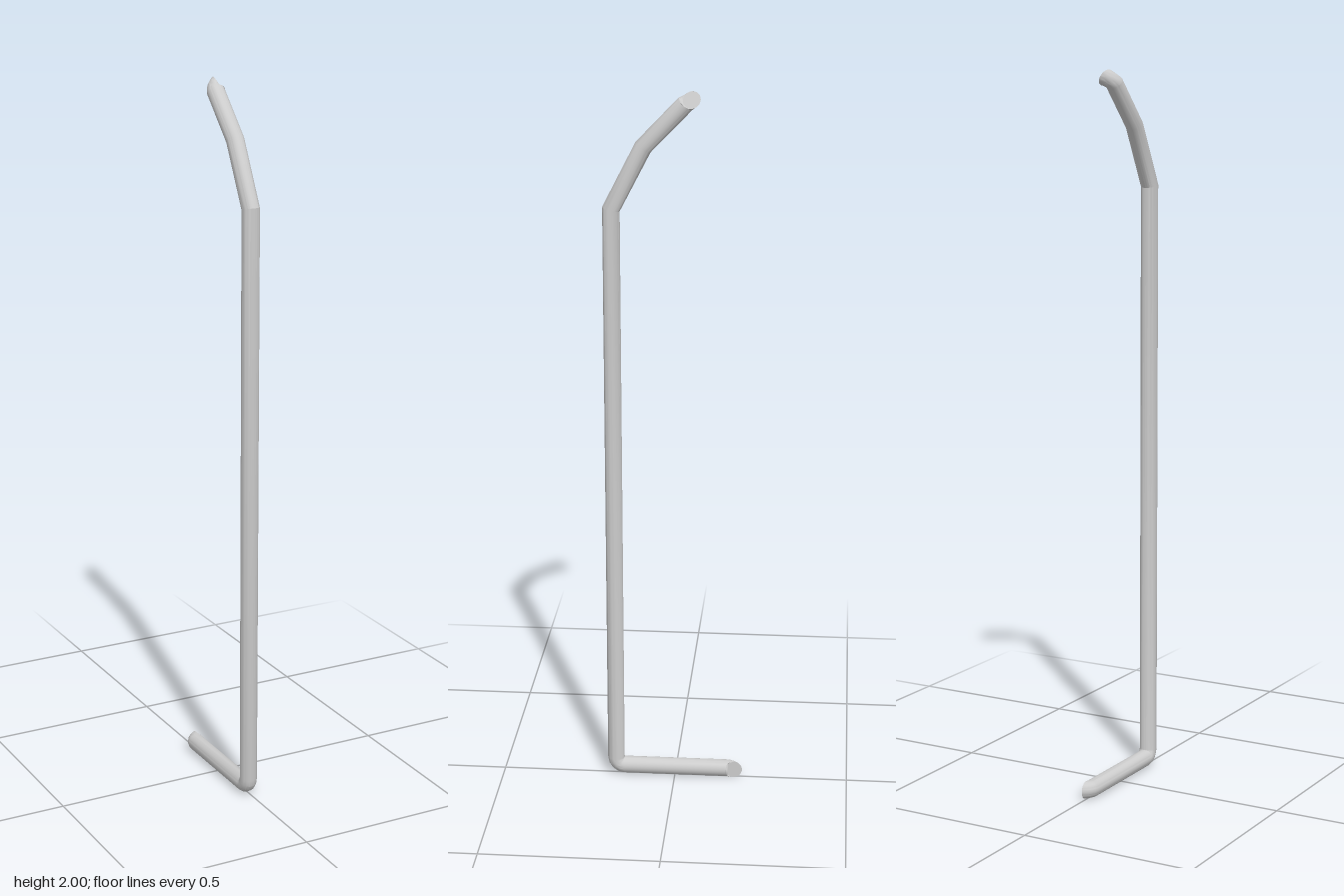
import * as THREE from 'three';
import { toCreasedNormals } from 'three/addons/utils/BufferGeometryUtils.js';

const RADIUS = 0.0243, SIDES = 24, X = -0.003;
const v3 = (x, y, z) => new THREE.Vector3(x, y, z);
const section = (center, normal) => ({ center, normal: normal.normalize() });

// Sections between two given ones, turning gradually from the first to the second
function turn(a, b, steps) {
  const q = new THREE.Quaternion().setFromUnitVectors(a.normal, b.normal);
  return Array.from({ length: steps - 1 }, (_, i) => {
    const t = (i + 1) / steps;
    return section(a.center.clone().lerp(b.center, t),
      a.normal.clone().applyQuaternion(new THREE.Quaternion().slerp(q, t)));
  });
}

// Skin round cross-sections, carrying the frame along without twist
function sweep(sections) {
  const pos = [], index = [];
  const q = new THREE.Quaternion().setFromUnitVectors(v3(0, 0, 1), sections[0].normal);
  sections.forEach((s, i) => {
    if (i > 0) {
      q.premultiply(new THREE.Quaternion().setFromUnitVectors(sections[i - 1].normal, s.normal));
    }
    for (let j = 0; j < SIDES; j++) {
      const a = (j / SIDES) * Math.PI * 2;
      const p = v3(Math.cos(a) * RADIUS, Math.sin(a) * RADIUS, 0).applyQuaternion(q).add(s.center);
      pos.push(p.x, p.y, p.z);
      if (i > 0) {
        const k = (j + 1) % SIDES, lo = (i - 1) * SIDES, hi = i * SIDES;
        index.push(lo + j, lo + k, hi + j, lo + k, hi + k, hi + j);
      }
    }
  });
  const geo = new THREE.BufferGeometry();
  geo.setAttribute('position', new THREE.Float32BufferAttribute(pos, 3));
  geo.setIndex(index);
  return toCreasedNormals(geo, 0.4);
}

export function createModel() {
  const group = new THREE.Group();
  group.name = 'bentRod';
  const material = new THREE.MeshStandardMaterial({ color: 0xcccccc, side: THREE.DoubleSide });

  // Foot end, turned sideways
  const footEnd = section(v3(0.006, 0.026, -0.172), v3(-1, 0, 0.08));
  const footStart = section(v3(X, 0.026, -0.155), v3(0, 0, 1));
  // Rounded corner between foot and upright
  const cornerIn = section(v3(X, 0.026, 0.147), v3(0, 0, 1));
  const cornerOut = section(v3(X, 0.052, 0.172), v3(0, 1, 0));
  const corner = [1, 2, 3].map(i => {
    const a = (i / 4) * Math.PI / 2;
    return section(v3(X, 0.052 - 0.026 * Math.cos(a), 0.147 + 0.025 * Math.sin(a)),
      v3(0, Math.sin(a), Math.cos(a)));
  });
  // Two bends near the top, then the top end turned sideways
  const bendLow = section(v3(X, 1.682, 0.172), v3(0, 0.97, -0.24));
  const bendHigh = section(v3(X, 1.85, 0.085), v3(0, 0.82, -0.57));
  const tipStart = section(v3(X, 1.966, -0.027), v3(0, 0.72, -0.69));
  const tipEnd = section(v3(0.012, 1.979, -0.045), v3(0.85, 0.48, 0.2));

  const rod = new THREE.Mesh(sweep([
    footEnd, ...turn(footEnd, footStart, 4), footStart,
    cornerIn, ...corner, cornerOut,
    bendLow, bendHigh,
    tipStart, ...turn(tipStart, tipEnd, 4), tipEnd,
  ]), material);
  rod.name = 'rod';
  group.add(rod);

  // Flat caps closing both ends
  for (const [name, s, sign] of [['footCap', footEnd, -1], ['tipCap', tipEnd, 1]]) {
    const cap = new THREE.Mesh(new THREE.CircleGeometry(RADIUS, SIDES), material);
    cap.name = name;
    cap.position.copy(s.center);
    cap.quaternion.setFromUnitVectors(v3(0, 0, 1), s.normal.clone().multiplyScalar(sign));
    group.add(cap);
  }
  return group;
}
